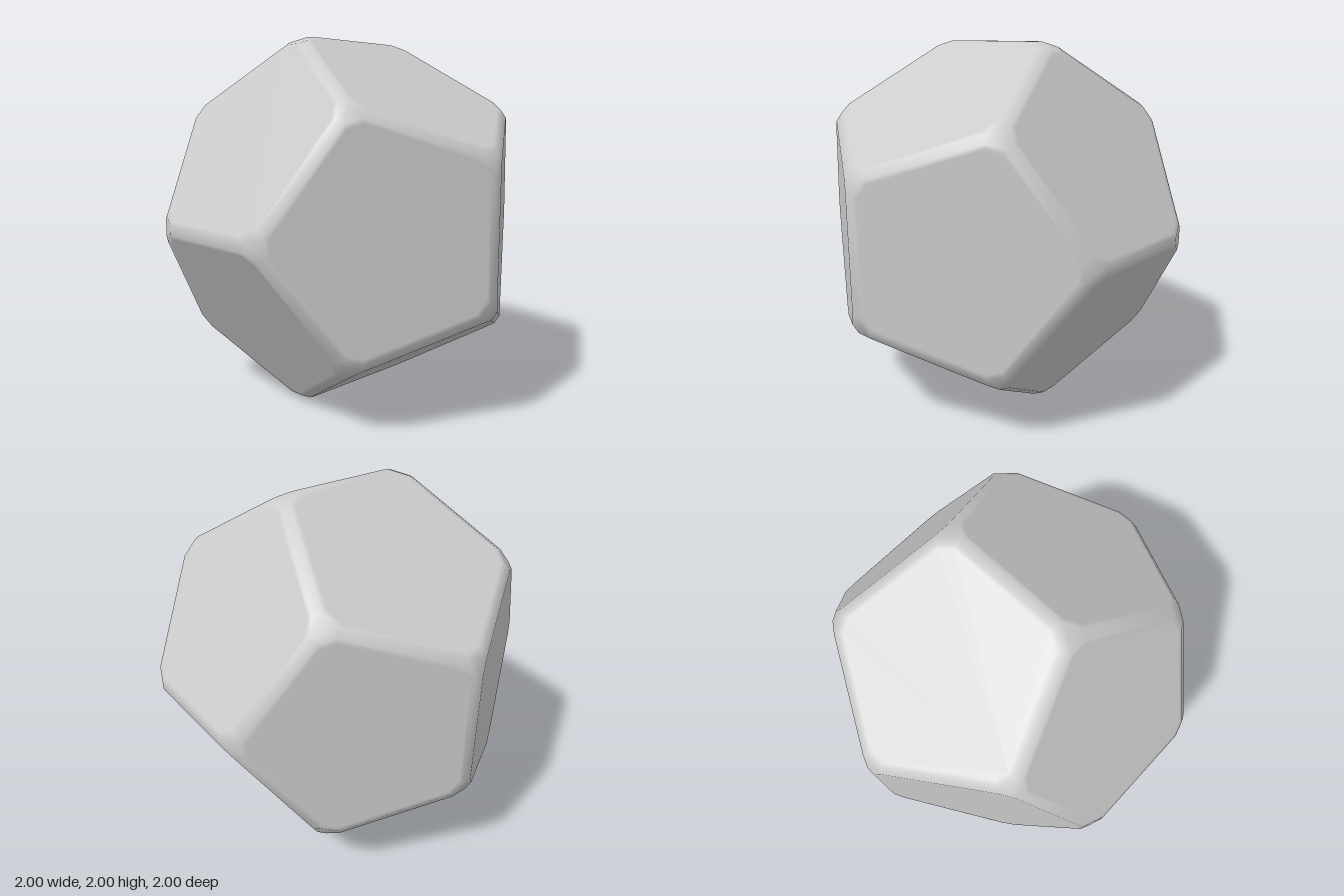
import * as THREE from 'three';

const PHI = (1 + Math.sqrt(5)) / 2;
const SIZE = 0.628;      // half side of the cube inscribed in the sharp solid
const BEVEL = 0.0305;    // inset of each face from its sharp edge
const CUT = 0.078;       // distance along an edge taken up by the corner cut
const INNER = 0.955;     // scale of the fully flat middle of a face

const V = (x, y, z) => new THREE.Vector3(x, y, z);

// The three cyclic coordinate orders of (0, b, c), in every sign combination
function cyclic(b, c) {
  const out = [];
  for (const p of [-1, 1]) for (const q of [-1, 1]) {
    const [y, z] = [b * p, c * q];
    out.push(V(0, y, z), V(z, 0, y), V(y, z, 0));
  }
  return out;
}

// Sorts points counter-clockwise as seen from outside
function sortAround(items, axis, pos) {
  const n = axis.clone().normalize();
  const c = items.reduce((s, i) => s.add(pos(i)), V(0, 0, 0)).divideScalar(items.length);
  const u = pos(items[0]).clone().sub(c).projectOnPlane(n).normalize();
  const w = n.clone().cross(u);
  const angle = (i) => {
    const d = pos(i).clone().sub(c);
    return Math.atan2(d.dot(w), d.dot(u));
  };
  return items.slice().sort((a, b) => angle(a) - angle(b));
}

export function createModel() {
  const positions = [], normals = [];
  const fan = (pts) => {
    for (let i = 1; i < pts.length - 1; i++) {
      for (const k of [pts[0], pts[i], pts[i + 1]]) {
        positions.push(k.p.x, k.p.y, k.p.z);
        normals.push(k.n.x, k.n.y, k.n.z);
      }
    }
  };

  // Sharp corners and face directions of the dodecahedron
  const corners = cyclic(PHI, 1 / PHI);
  for (const x of [-1, 1]) for (const y of [-1, 1]) for (const z of [-1, 1]) corners.push(V(x, y, z));
  corners.forEach((v) => v.multiplyScalar(SIZE));
  const faceNormals = cyclic(1, PHI).map((n) => n.normalize());

  const edges = new Map();
  const cornerPoints = corners.map(() => []);

  // Twelve pentagonal faces with clipped corners and softened borders
  for (const n of faceNormals) {
    const ids = corners.map((_, i) => i).sort((a, b) => corners[b].dot(n) - corners[a].dot(n)).slice(0, 5);
    const loop = sortAround(ids, n, (i) => corners[i]);
    const centre = n.clone().multiplyScalar(corners[loop[0]].dot(n));
    const rim = [];
    loop.forEach((from, i) => {
      const to = loop[(i + 1) % 5];
      const a = corners[from], b = corners[to];
      const along = b.clone().sub(a).normalize();
      const inward = n.clone().cross(along);
      const middle = a.clone().add(b).normalize();
      const key = Math.min(from, to) + '-' + Math.max(from, to);
      if (!edges.has(key)) edges.set(key, { axis: middle, pts: [] });
      for (const [id, sign] of [[from, 1], [to, -1]]) {
        const v = corners[id];
        const pt = {
          p: v.clone().addScaledVector(along, CUT * sign).addScaledVector(inward, BEVEL),
          n: n.clone().add(middle).add(v.clone().normalize()).normalize(),
        };
        rim.push(pt);
        edges.get(key).pts.push(pt);
        cornerPoints[id].push(pt);
      }
    });
    const flat = rim.map(({ p }) => ({ p: p.clone().sub(centre).multiplyScalar(INNER).add(centre), n }));
    fan(flat);
    rim.forEach((pt, i) => {
      const j = (i + 1) % rim.length;
      fan([pt, rim[j], flat[j], flat[i]]);
    });
  }

  // Thirty edge bevels and twenty corner cuts
  for (const { axis, pts } of edges.values()) fan(sortAround(pts, axis, (k) => k.p));
  cornerPoints.forEach((pts, i) => fan(sortAround(pts, corners[i], (k) => k.p)));

  const geometry = new THREE.BufferGeometry();
  geometry.setAttribute('position', new THREE.Float32BufferAttribute(positions, 3));
  geometry.setAttribute('normal', new THREE.Float32BufferAttribute(normals, 3));

  const body = new THREE.Mesh(geometry, new THREE.MeshStandardMaterial({ color: 0xcccccc }));
  body.name = 'beveledDodecahedron';
  body.position.y = 1;

  const group = new THREE.Group();
  group.name = 'dodecahedron';
  group.add(body);
  return group;
}
